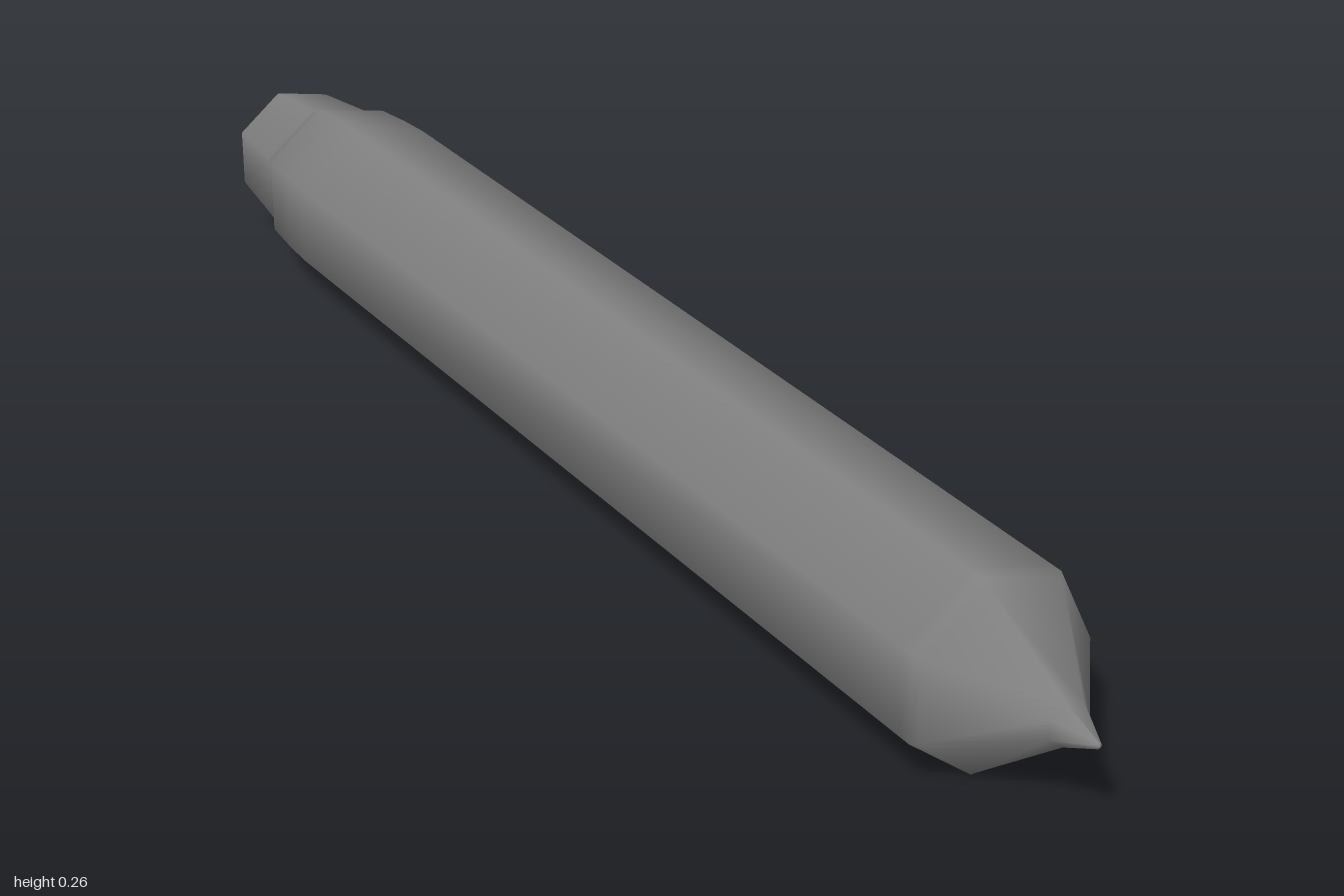
import * as THREE from 'three';

const SIDES = 7;

export function createModel() {
  const model = new THREE.Group();
  model.name = 'pencil';
  const material = new THREE.MeshStandardMaterial({ color: 0x808080 });

  // Seven-sided section along z; profile is [radius, z] from back to front
  function addSection(name, profile) {
    const points = profile.map(([r, z]) => new THREE.Vector2(r, z));
    const geometry = new THREE.LatheGeometry(points, SIDES, Math.PI / 2);
    geometry.rotateX(Math.PI / 2);
    const mesh = new THREE.Mesh(geometry, material);
    mesh.name = name;
    mesh.position.set(-0.007, 0.133, 0);
    model.add(mesh);
  }

  // Flat back end
  addSection('endCap', [[0, -1], [0.096, -1]]);

  // One smooth skin: narrow stub, step, rounded barrel, concave point
  addSection('body', [
    [0.096, -1], [0.111, -0.875], [0.113, -0.862],
    [0.126, -0.84], [0.132, -0.775], [0.135, -0.72],
    [0.135, 0.795], [0.135, 0.815], [0.128, 0.823],
    [0.03, 0.945], [0.004, 0.998], [0, 1],
  ]);

  return model;
}
